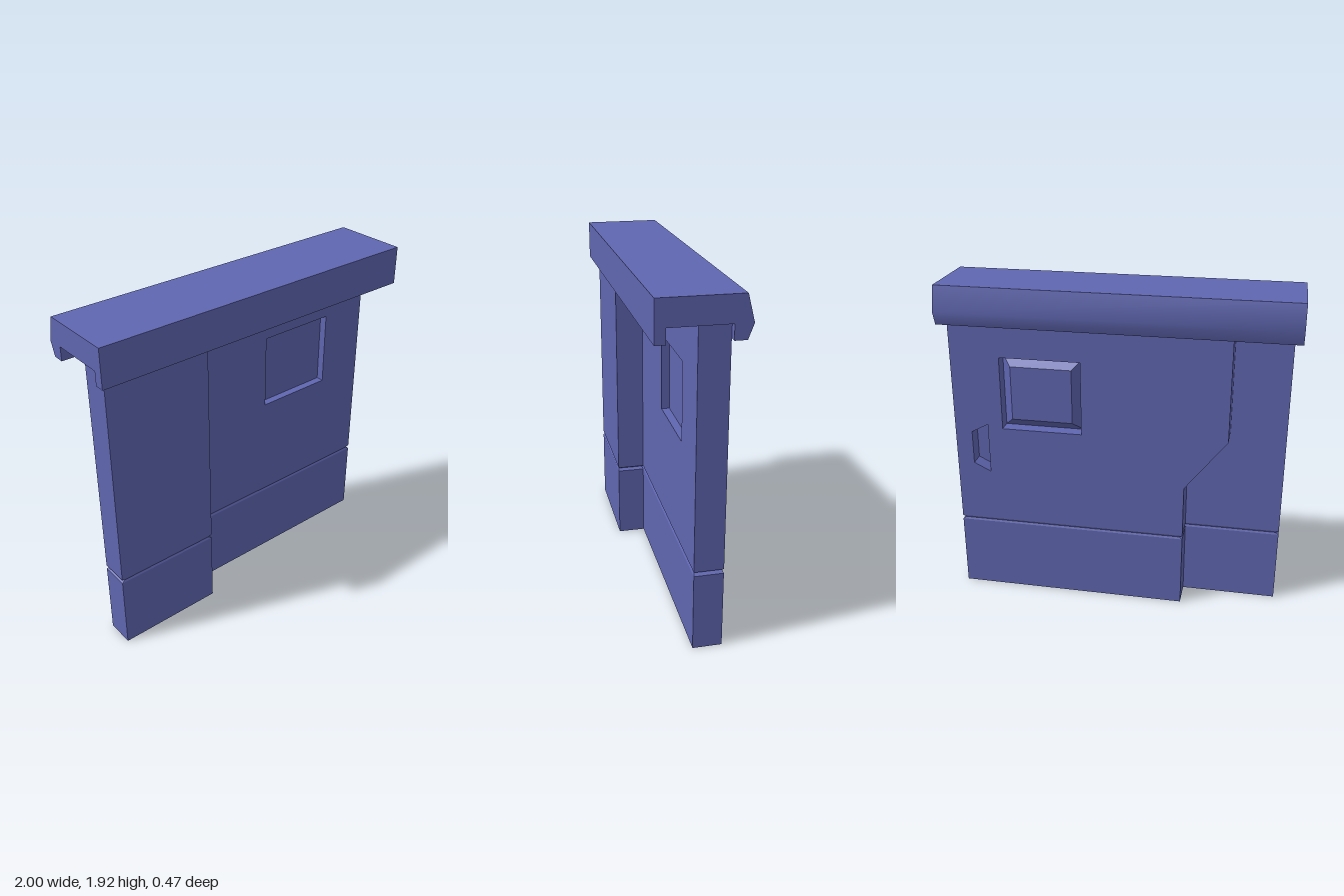
import * as THREE from 'three';
import { toCreasedNormals } from 'three/addons/utils/BufferGeometryUtils.js';

const material = new THREE.MeshStandardMaterial({ color: 0x5f66b0, side: THREE.DoubleSide });

const GROOVE = 0.453, HALF = 0.012, CUT_X = 0.02, CUT_Z = 0.006;
const BACK = -0.14, MID = 0.02, FRONT = 0.18, TOP = 1.78;

function addMesh(parent, name, geometry) {
  const mesh = new THREE.Mesh(toCreasedNormals(geometry, 0.15), material);
  mesh.name = name;
  parent.add(mesh);
  return mesh;
}

function path(points, Type = THREE.Shape) {
  return new Type(points.map(([x, y]) => new THREE.Vector2(x, y)));
}

function rect(x0, x1, y0, y1) {
  return [[x0, y0], [x1, y0], [x1, y1], [x0, y1]];
}

// Upright slab with a V groove running round it
function groovedSlab(x0, x1, z0, z1, top) {
  const rows = [0, GROOVE - HALF, GROOVE, GROOVE + HALF, top];
  const w = x1 - x0, d = z1 - z0;
  const geometry = new THREE.BoxGeometry(w, 4, d, 1, 4, 1);
  const p = geometry.attributes.position;
  for (let i = 0; i < p.count; i++) {
    const row = Math.round(p.getY(i) + 2);
    const cut = row === 2 ? 1 : 0;
    p.setXYZ(i,
      (x0 + x1) / 2 + Math.sign(p.getX(i)) * (w / 2 - cut * CUT_X),
      rows[row],
      (z0 + z1) / 2 + Math.sign(p.getZ(i)) * (d / 2 - cut * CUT_Z));
  }
  return geometry;
}

// Plate with holes, extruded between two z positions
function plate(outline, holes, z0, z1) {
  const shape = path(outline);
  shape.holes = holes.map((h) => path(h, THREE.Path));
  return new THREE.ExtrudeGeometry(shape, { depth: z1 - z0, bevelEnabled: false }).translate(0, 0, z0);
}

export function createModel() {
  const model = new THREE.Group();
  model.name = 'slidingDoorWall';

  // Fixed front panel
  addMesh(model, 'fixedPanel', groovedSlab(-0.96, -0.34, MID, FRONT, TOP));

  // Sliding door: grooved foot, then an upper part with a slanted step in its edge
  const door = new THREE.Group();
  door.name = 'slidingDoor';
  model.add(door);
  const seam = GROOVE + HALF;
  addMesh(door, 'doorFoot', groovedSlab(-0.4, 0.96, BACK, MID, seam + 0.001));
  const outline = [[-0.4, seam], [0.96, seam], [0.96, TOP], [-0.64, TOP], [-0.64, 1.09], [-0.4, 0.78]];
  const windowHole = rect(0.2, 0.67, 1.07, 1.505);
  const handleHole = [[0.76, 0.785], [0.86, 0.835], [0.86, 1.035], [0.76, 1.09]];
  const pocketFloor = -0.05;
  addMesh(door, 'doorFrontLayer', plate(outline, [windowHole], pocketFloor, MID));
  addMesh(door, 'doorBackLayer', plate(outline, [windowHole, handleHole], BACK, pocketFloor));

  // Window pane: flat in front, bevelled towards the back
  const pane = new THREE.BoxGeometry(0.47, 0.435, 2, 1, 1, 2);
  const p = pane.attributes.position;
  const paneZ = [-0.12, -0.06, -0.025];
  for (let i = 0; i < p.count; i++) {
    const row = Math.round(p.getZ(i) + 1);
    const inset = row === 0 ? 0.057 : 0;
    p.setXYZ(i,
      0.435 + p.getX(i) - Math.sign(p.getX(i)) * inset,
      1.2875 + p.getY(i) - Math.sign(p.getY(i)) * inset,
      paneZ[row]);
  }
  addMesh(door, 'windowPane', pane);

  // Top rail with a channel underneath and a softly bent back face
  const profile = [[0.235, 1.7], [0.235, 1.92], [-0.2, 1.92], [-0.235, 1.78], [-0.205, 1.7],
    [BACK, 1.7], [BACK, TOP], [FRONT, TOP], [FRONT, 1.7]];
  const rail = new THREE.ExtrudeGeometry(path(profile.map(([z, y]) => [-z, y])), { depth: 2, bevelEnabled: false });
  rail.translate(0, 0, -1).rotateY(Math.PI / 2);
  const railMesh = addMesh(model, 'topRail', rail);
  railMesh.geometry = toCreasedNormals(rail, 0.8);

  return model;
}
